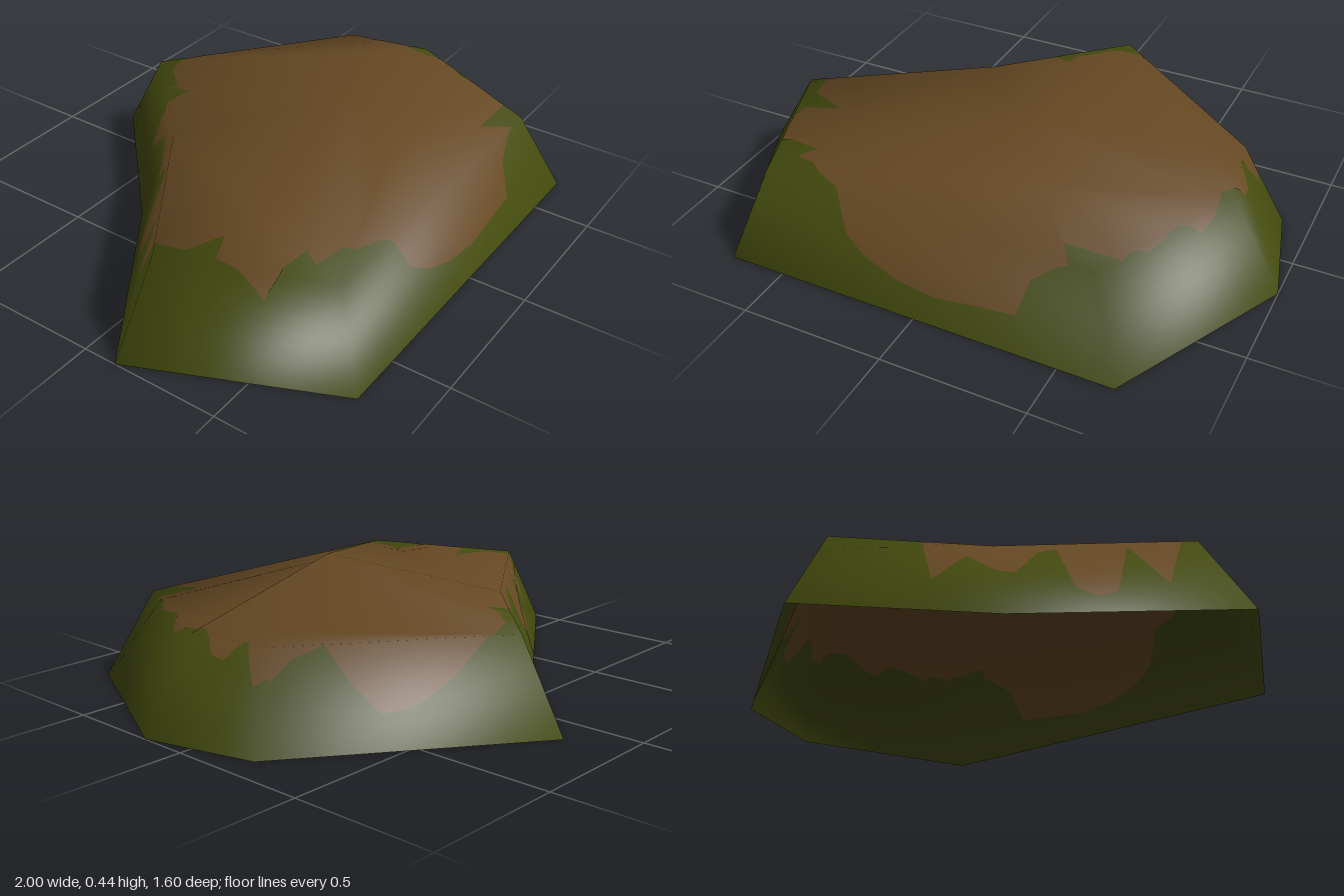
import * as THREE from 'three';

const V = (x, y, z) => new THREE.Vector3(x, y, z);
const PEAK = V(0.14, 0.44, 0.22);
const RIM_Y = 0.307;

// Outlines as [x, z], ordered front-right corner, front-left, then round the back
const RIM = [[0.56, 0.68], [-0.61, 0.68], [-0.81, 0.13], [-0.25, -0.25], [0.14, -0.63], [0.757, -0.15], [0.82, 0.15]];
const BASE = [[0.69, 0.8], [-0.7, 0.8], [-1, 0.12], [-0.35, -0.33], [0.14, -0.8], [0.9, -0.22], [1, 0.17]];
const CREST = [1, 3, 4, 6]; // rim corners that the peak slopes down to
const LEDGES = [0, 2, 5]; // rim corners left as flat ledges
const WALL_ROWS = 8;

// Ragged edge of the bare earth, seen in plan
const EARTH = [
  [0.2, -0.57], [0.35, -0.53], [0.47, -0.48], [0.56, -0.42], [0.6, -0.34], [0.63, -0.25], [0.72, -0.2],
  [0.79, -0.18], [0.82, -0.135], [0.79, -0.085], [0.765, -0.06], [0.82, 0.0], [0.825, 0.05], [0.79, 0.1],
  [0.77, 0.14], [0.785, 0.24], [0.765, 0.31], [0.7, 0.36], [0.69, 0.42], [0.66, 0.5], [0.62, 0.54], [0.61, 0.59],
  [0.42, 0.59], [0.48, 0.68], [0.43, 0.69], [0.37, 0.71], [0.34, 0.755], [0.2, 0.76], [0.06, 0.766], [-0.08, 0.76],
  [-0.2, 0.745], [-0.28, 0.725], [-0.31, 0.7], [-0.36, 0.65], [-0.57, 0.56], [-0.53, 0.5], [-0.72, 0.48],
  [-0.72, 0.3], [-0.61, 0.25], [-0.74, 0.2], [-0.765, 0.1], [-0.76, 0.01], [-0.62, -0.008], [-0.63, -0.095],
  [-0.575, -0.14], [-0.515, -0.163], [-0.428, -0.14], [-0.38, -0.18], [-0.34, -0.25], [-0.2, -0.33],
  [0.0, -0.38], [-0.15, -0.445], [0.01, -0.44], [0.0, -0.49], [0.1, -0.54],
];

const angleOf = ([x, z]) => Math.atan2(z - PEAK.z, x - PEAK.x);

// Smooth normals of the plain faceted mound: peak, rim ring, base ring
function moundCorners() {
  const points = [PEAK, ...RIM.map(([x, z]) => V(x, RIM_Y, z)), ...BASE.map(([x, z]) => V(x, 0, z))];
  const index = [];
  CREST.forEach((c, i) => index.push(0, 1 + CREST[(i + 1) % CREST.length], 1 + c));
  LEDGES.forEach((c) => index.push(1 + ((c + 6) % 7), 1 + ((c + 1) % 7), 1 + c));
  for (let i = 0; i < 7; i++) {
    const a = 1 + i, b = 1 + ((i + 1) % 7);
    index.push(a, b + 7, a + 7, a, b, b + 7);
  }
  const g = new THREE.BufferGeometry().setFromPoints(points);
  g.setIndex(index);
  g.computeVertexNormals();
  return points.map((p, i) => ({ p, n: new THREE.Vector3().fromBufferAttribute(g.attributes.normal, i) }));
}

const mix = (a, b, t) => ({ p: a.p.clone().lerp(b.p, t), n: a.n.clone().lerp(b.n, t).normalize() });
const radius = (s) => Math.hypot(s.p.x - PEAK.x, s.p.z - PEAK.z);

// Where a ray from the peak, in plan, meets a ring
function hit(ring, angle) {
  const dx = Math.cos(angle), dz = Math.sin(angle);
  const cross = (s) => dx * (s.p.z - PEAK.z) - dz * (s.p.x - PEAK.x);
  for (let i = 0; i < ring.length; i++) {
    const a = ring[i], b = ring[(i + 1) % ring.length];
    const ca = cross(a), cb = cross(b);
    if (Math.abs(ca - cb) < 1e-9) continue;
    const t = ca / (ca - cb);
    if (t < -1e-7 || t > 1 + 1e-7) continue;
    const s = mix(a, b, t);
    if ((s.p.x - PEAK.x) * dx + (s.p.z - PEAK.z) * dz > 0) return s;
  }
  return ring[0];
}

// Point on the mound at a given plan radius along one ray
function along(ray, r) {
  for (let i = 1; i < ray.length; i++) {
    const r0 = radius(ray[i - 1]), r1 = radius(ray[i]);
    if (r <= r1 || i === ray.length - 1) {
      const t = r1 - r0 < 1e-6 ? 1 : THREE.MathUtils.clamp((r - r0) / (r1 - r0), 0, 1);
      return mix(ray[i - 1], ray[i], t);
    }
  }
}

// Join the rays into a surface strip by strip
function skin(columns) {
  const pos = [], nor = [], index = [];
  const rows = columns[0].length;
  columns.forEach((col) => col.forEach((s) => { pos.push(...s.p.toArray()); nor.push(...s.n.toArray()); }));
  for (let i = 0; i < columns.length; i++) {
    const j = (i + 1) % columns.length;
    for (let k = 0; k < rows - 1; k++) {
      const a = i * rows + k, d = j * rows + k;
      index.push(a, d + 1, a + 1, a, d, d + 1);
    }
  }
  const g = new THREE.BufferGeometry();
  g.setAttribute('position', new THREE.Float32BufferAttribute(pos, 3));
  g.setAttribute('normal', new THREE.Float32BufferAttribute(nor, 3));
  g.setIndex(index);
  return g;
}

export function createModel() {
  const grass = new THREE.MeshStandardMaterial({ name: 'mossGreen', color: 0x434a0d, side: THREE.DoubleSide });
  const soil = new THREE.MeshStandardMaterial({ name: 'earthBrown', color: 0x654823, side: THREE.DoubleSide });

  // Rings from the crest outward: the rim, then rows down the sloping wall
  const corners = moundCorners();
  const rim = corners.slice(1, 8), base = corners.slice(8);
  const rings = [CREST.map((i) => rim[i])];
  for (let k = 0; k <= WALL_ROWS; k++) rings.push(rim.map((s, i) => mix(s, base[i], k / WALL_ROWS)));
  const earth = [...EARTH].sort((a, b) => angleOf(a) - angleOf(b)).map(([x, z]) => ({ p: V(x, 0, z), n: V(0, 1, 0) }));

  // Rays through every corner, with even ones between
  const angles = [...EARTH, ...rings.flat().map((s) => [s.p.x, s.p.z])].map(angleOf);
  for (let i = 0; i < 180; i++) angles.push(-Math.PI + ((i + 0.5) / 180) * Math.PI * 2);
  angles.sort((a, b) => a - b);

  const top = [], skirt = [];
  for (const angle of angles) {
    const ray = [corners[0], ...rings.map((ring) => hit(ring, angle))];
    const radii = ray.map(radius);
    const edge = radius(hit(earth, angle));
    top.push([...radii.map((r) => Math.min(r, edge)), edge].map((r) => along(ray, r)));
    skirt.push([edge, ...radii.slice(1).map((r) => Math.max(r, edge))].map((r) => along(ray, r)));
  }

  const group = new THREE.Group();
  group.name = 'mound';
  const earthTop = new THREE.Mesh(skin(top), soil);
  earthTop.name = 'earthTop';
  const mossSkirt = new THREE.Mesh(skin(skirt), grass);
  mossSkirt.name = 'mossSkirt';
  group.add(earthTop, mossSkirt);
  return group;
}
